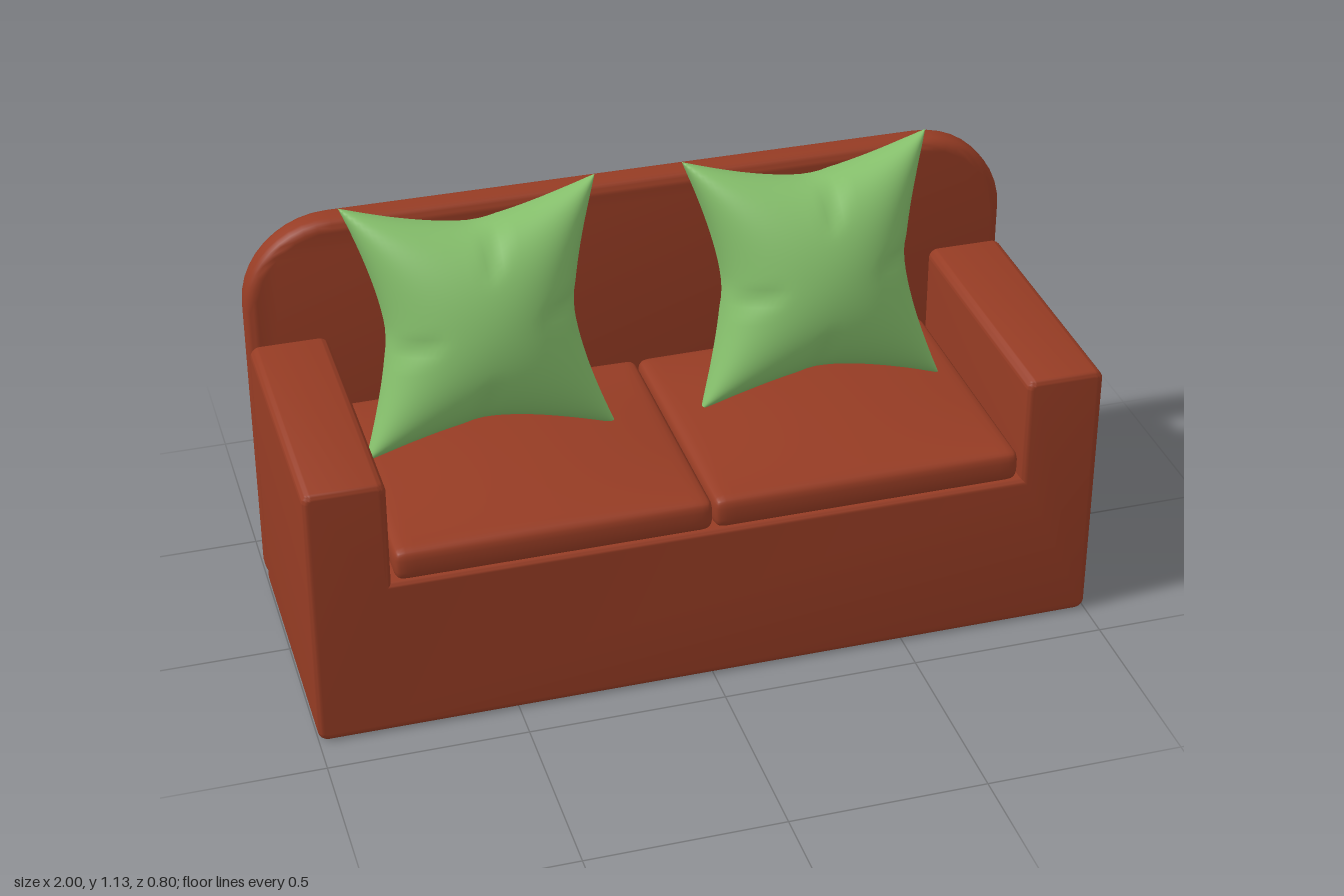
import * as THREE from 'three';
import { mergeGeometries, mergeVertices, toCreasedNormals } from 'three/addons/utils/BufferGeometryUtils.js';

// Closed outline from [x, y, cornerRadius] points
function roundedShape(points) {
  const shape = new THREE.Shape();
  const n = points.length;
  points.forEach(([x, y, r], i) => {
    const p = new THREE.Vector2(x, y);
    const toward = ([qx, qy]) => new THREE.Vector2(qx - x, qy - y).setLength(r).add(p);
    const a = toward(points[(i + n - 1) % n]);
    const b = toward(points[(i + 1) % n]);
    if (i === 0) shape.moveTo(a.x, a.y);
    else shape.lineTo(a.x, a.y);
    // cubic close to a circular arc
    const k = 0.5523;
    const c1 = a.clone().lerp(p, k), c2 = b.clone().lerp(p, k);
    shape.bezierCurveTo(c1.x, c1.y, c2.x, c2.y, b.x, b.y);
  });
  shape.closePath();
  return shape;
}

// Soft-edged slab between two z planes; the outline grows outward by the bevel
function softSlab(points, z0, z1, bevel) {
  const geo = new THREE.ExtrudeGeometry(roundedShape(points), {
    depth: z1 - z0 - 2 * bevel, bevelEnabled: true, bevelSize: bevel,
    bevelThickness: bevel, bevelSegments: 5, curveSegments: 10,
  });
  geo.translate(0, 0, z0 + bevel);
  return toCreasedNormals(geo, 0.7);
}

// Rounded box whose top swells gently in the middle
function cushionGeometry(w, h, d, r, crown) {
  let geo = new THREE.BoxGeometry(2, 2, 2, 24, 8, 24);
  geo.deleteAttribute('uv');
  geo.deleteAttribute('normal');
  geo = mergeVertices(geo);
  const pos = geo.attributes.position;
  const half = new THREE.Vector3(w / 2, h / 2, d / 2);
  const inner = half.clone().subScalar(r);
  const p = new THREE.Vector3(), c = new THREE.Vector3();
  const ease = (t) => Math.sin(t * Math.PI / 2);
  for (let i = 0; i < pos.count; i++) {
    p.fromBufferAttribute(pos, i);
    p.set(ease(p.x), ease(p.y), ease(p.z));
    const swell = p.y > 0 ? crown * (1 - p.x * p.x) * (1 - p.z * p.z) * p.y : 0;
    p.multiply(half);
    c.copy(p).clamp(inner.clone().negate(), inner);
    p.sub(c).setLength(r).add(c);
    pos.setXYZ(i, p.x, p.y + swell, p.z);
  }
  geo.computeVertexNormals();
  return geo;
}

// Plump square pillow with pointed corners, pinched sides and small folds
function pillowGeometry(half, thick) {
  const ease = (t) => Math.sin(t * Math.PI / 2);
  const pinch = (t, k) => 1 - k * (1 - Math.pow(Math.abs(t), 1.5));
  const sheet = (side) => {
    const geo = new THREE.PlaneGeometry(2, 2, 40, 40);
    geo.deleteAttribute('uv');
    geo.deleteAttribute('normal');
    const pos = geo.attributes.position;
    for (let i = 0; i < pos.count; i++) {
      const u = ease(pos.getX(i)), v = ease(pos.getY(i));
      const full = Math.pow(Math.max(0, (1 - u * u) * (1 - v * v)), 0.42);
      // folds running inward from the middle of each side
      const fold = (along, across) =>
        Math.exp(-Math.pow((across - 0.12 * along) / 0.07, 2)) * Math.max(0, Math.abs(along) - 0.5) * 0.35;
      const dip = 1 - fold(u, v) - fold(v, u);
      pos.setXYZ(i, half * u * pinch(v, 0.27), half * v * pinch(u, 0.24), side * thick * full * dip);
    }
    if (side < 0) geo.index.array.reverse();
    return geo;
  };
  const geo = mergeVertices(mergeGeometries([sheet(1), sheet(-1)]), 1e-5);
  geo.computeVertexNormals();
  return geo;
}

export function createModel() {
  const group = new THREE.Group();
  const upholstery = new THREE.MeshStandardMaterial({ color: 0x963c24 });
  upholstery.name = 'russet upholstery';
  const pillowFabric = new THREE.MeshStandardMaterial({ color: 0x86c06c });
  pillowFabric.name = 'green pillow fabric';
  const add = (name, geo, mat) => {
    const mesh = new THREE.Mesh(geo, mat);
    mesh.name = name;
    group.add(mesh);
    return mesh;
  };

  // Base and arms in one U-shaped body
  const b = 0.016;
  const arm = 0.8 + b, side = 1 - b, top = 0.715 - b, seat = 0.43 - b;
  add('baseAndArms', softSlab([
    [-side, b, 0.01], [side, b, 0.01], [side, top, 0.01], [arm, top, 0.01],
    [arm, seat, 0.004], [-arm, seat, 0.004], [-arm, top, 0.01], [-side, top, 0.01],
  ], -0.31, 0.4, b), upholstery);

  // Tall back panel with large round upper corners
  const e = 0.028;
  add('backPanel', softSlab([
    [-1 + e, e, 0.006], [1 - e, e, 0.006], [1 - e, 1.03 - e, 0.2], [-1 + e, 1.03 - e, 0.2],
  ], -0.4, -0.312, e), upholstery);

  // Seat cushions and leaning pillows
  const cushion = cushionGeometry(0.79, 0.085, 0.71, 0.026, 0.03);
  const pillow = pillowGeometry(0.32, 0.185);
  for (const [label, s] of [['right', -1], ['left', 1]]) {
    add(label + 'SeatCushion', cushion, upholstery).position.set(s * 0.396, 0.472, 0.045);
    const p = add(label + 'Pillow', pillow, pillowFabric);
    p.position.set(s < 0 ? -0.455 : 0.408, 0.825, -0.1);
    p.rotation.x = -0.28;
  }
  return group;
}
